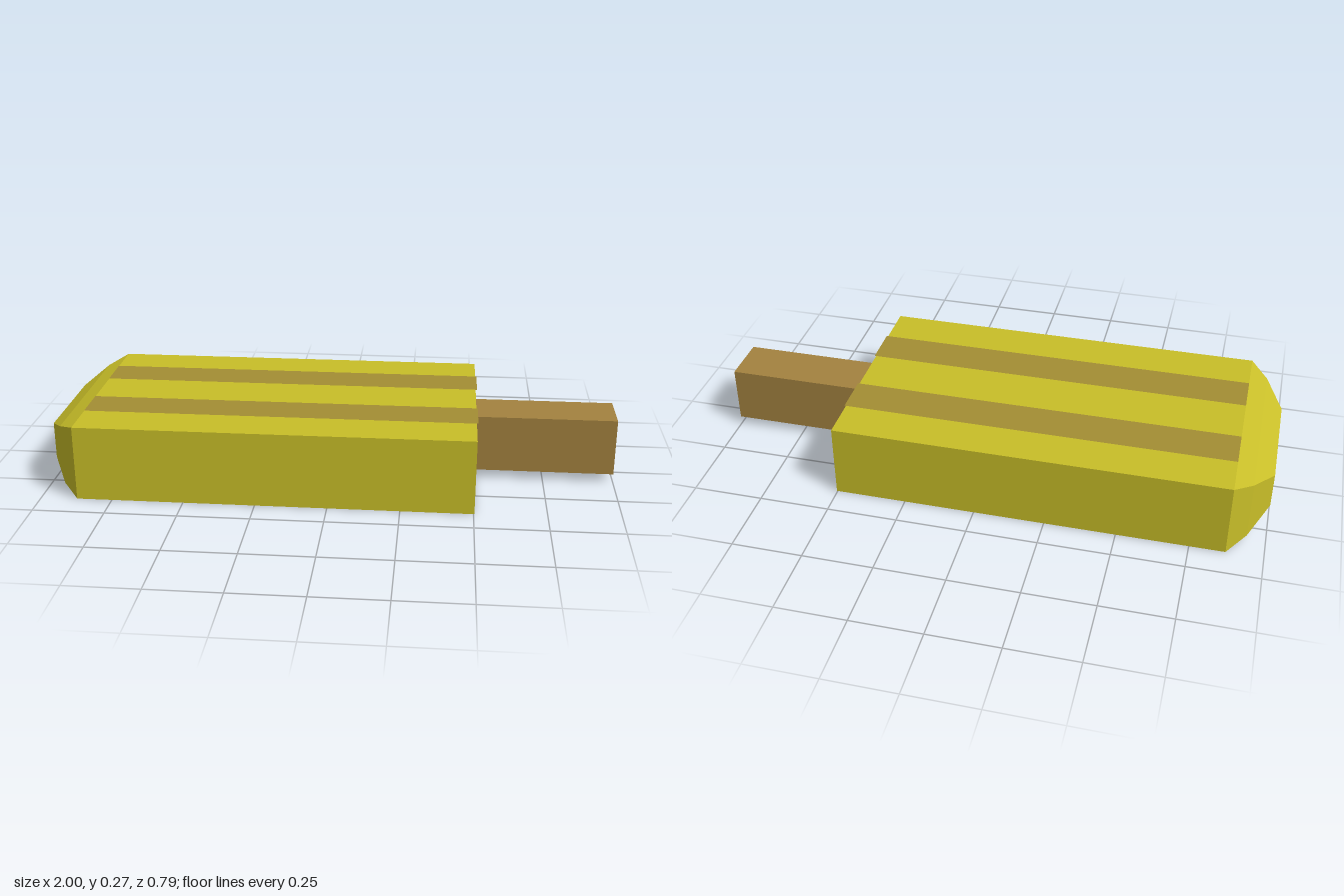
import * as THREE from 'three';

const material = (color) => new THREE.MeshStandardMaterial({ color, flatShading: true });

// Lofts rectangular sections [x, bottom, top, halfDepth] along x, with flat facets and closed ends.
function loftSections(sections) {
  const rings = sections.map(([x, y0, y1, d]) => [[x, y0, -d], [x, y0, d], [x, y1, d], [x, y1, -d]]);
  const positions = [];
  const quad = (a, b, c, d) => positions.push(...a, ...b, ...c, ...a, ...c, ...d);
  for (let i = 0; i < rings.length - 1; i++) {
    const a = rings[i], b = rings[i + 1];
    for (let j = 0; j < 4; j++) {
      const k = (j + 1) % 4;
      quad(a[j], b[j], b[k], a[k]);
    }
  }
  quad(...rings[0]);
  quad(...[...rings[rings.length - 1]].reverse());
  const geometry = new THREE.BufferGeometry();
  geometry.setAttribute('position', new THREE.Float32BufferAttribute(positions, 3));
  geometry.computeVertexNormals();
  return geometry;
}

export function createModel() {
  const model = new THREE.Group();
  model.name = 'paddle';

  // Block with a bevelled nose
  const body = new THREE.Mesh(loftSections([
    [-1, 0.07, 0.2, 0.2],
    [-0.935, 0.026, 0.241, 0.325],
    [-0.873, 0, 0.266, 0.396],
    [0.503, 0, 0.266, 0.396],
  ]), material(0xc8be28));
  body.name = 'body';
  model.add(body);

  // Square handle
  const handle = new THREE.Mesh(new THREE.BoxGeometry(0.497, 0.204, 0.18), material(0xa3823f));
  handle.name = 'handle';
  handle.position.set(0.7515, 0.133, 0);
  model.add(handle);

  // Thin stripes laid on the top, just overhanging the handle end
  const stripeMaterial = material(0xa38e33);
  stripeMaterial.side = THREE.DoubleSide;
  for (const [name, z] of [['frontStripe', 0.165], ['backStripe', -0.172]]) {
    const stripe = new THREE.Mesh(new THREE.PlaneGeometry(1.381, 0.146), stripeMaterial);
    stripe.name = name;
    stripe.rotation.x = -Math.PI / 2;
    stripe.position.set(-0.1825, 0.2675, z);
    model.add(stripe);
  }

  return model;
}
